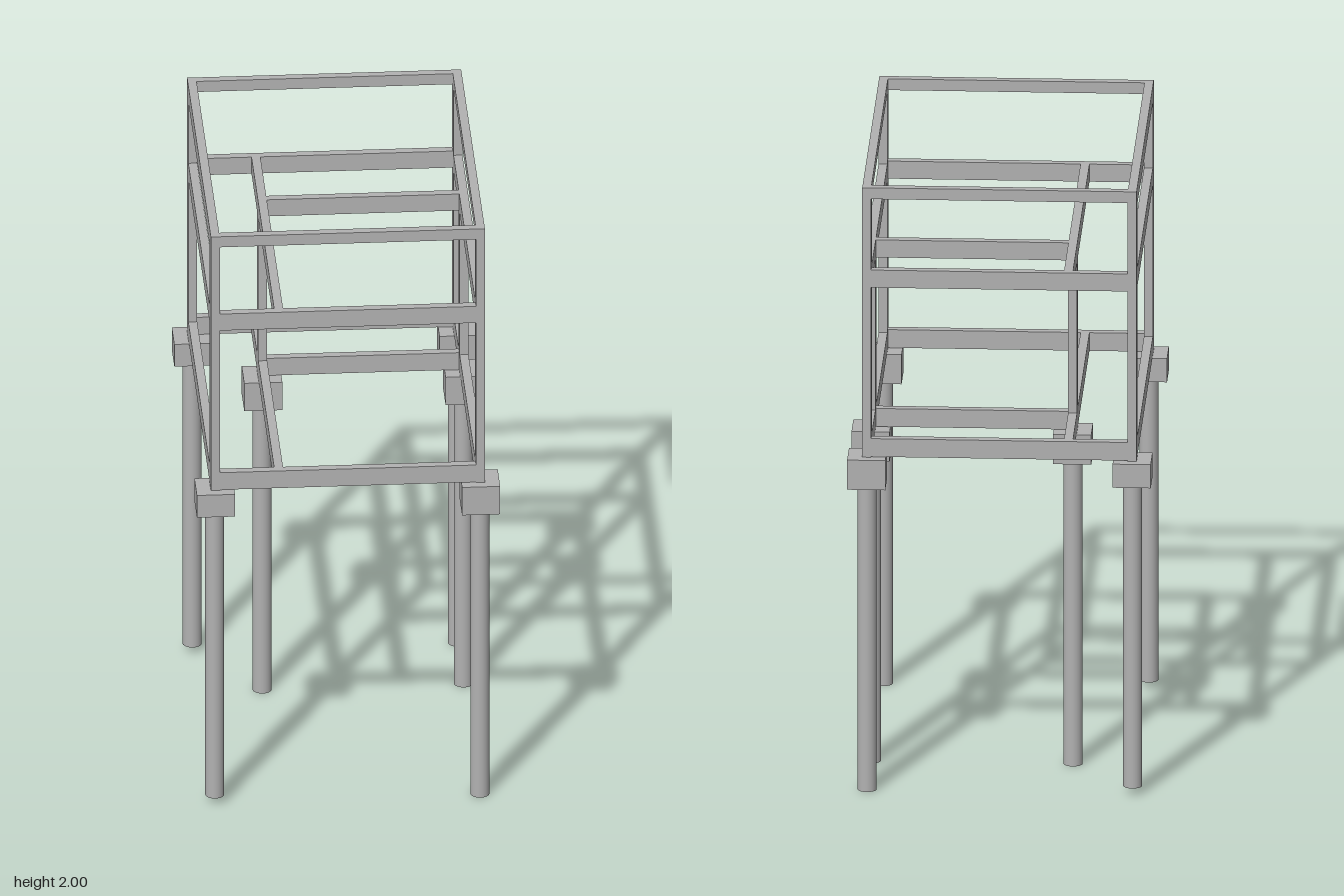
import * as THREE from 'three';

export function createModel() {
  const model = new THREE.Group();
  model.name = 'raisedFrame';
  const grey = new THREE.MeshStandardMaterial({ color: 0xb2b2b2 });
  grey.name = 'concrete grey';

  // Box given by its lower and upper corners
  function box(name, x0, x1, y0, y1, z0, z1) {
    const mesh = new THREE.Mesh(new THREE.BoxGeometry(x1 - x0, y1 - y0, z1 - z0), grey);
    mesh.name = name;
    mesh.position.set((x0 + x1) / 2, (y0 + y1) / 2, (z0 + z1) / 2);
    model.add(mesh);
  }

  const LEFT = -0.419, RIGHT = 0.416, INNER = -0.218;
  const FRONT = 0.528, BACK = -0.53, MID = -0.244;
  const T = 0.014, D = 0.029; // half width and half depth of members
  const zF = FRONT + D, zB = BACK - D;

  // Piles and caps; the outer pair at -x has thinner caps and higher piles
  const spots = [[LEFT, FRONT], [LEFT, BACK], [RIGHT, FRONT], [RIGHT, BACK], [RIGHT, MID], [INNER, MID]];
  for (const [x, z] of spots) {
    const capBottom = x === LEFT ? 1.03 : 1.01;
    const base = x === LEFT ? 0.025 : 0;
    const pile = new THREE.Mesh(new THREE.CylinderGeometry(0.03, 0.03, capBottom - base, 24), grey);
    pile.name = 'pile';
    pile.position.set(x, (capBottom + base) / 2, z);
    model.add(pile);
    box('pileCap', x - 0.06, x + 0.06, capBottom, 1.108, z - 0.06, z + 0.06);

    // Corner posts reach the roof, inner posts stop at the middle level
    const corner = z !== MID;
    box(corner ? 'cornerPost' : 'innerPost', x - T, x + T, 1.108, corner ? 2 : 1.67, z - D, z + D);
  }

  // Floor and middle level beams
  for (const [level, y0, y1] of [['floor', 1.11, 1.17], ['middle', 1.67, 1.728]]) {
    box(level + 'FrontBeam', LEFT + T, RIGHT - T, y0, y1, zF - 2 * T, zF);
    box(level + 'BackBeam', LEFT + T, RIGHT - T, y0, y1, zB, zB + 2 * T);
    for (const x of [LEFT, RIGHT]) box(level + 'SideBeam', x - T, x + T, y0, y1, BACK + D, FRONT - D);
    box(level + 'InnerBeam', INNER - T, INNER + T, y0, y1, zB + 2 * T, zF - 2 * T);
    box(level + 'CrossBeam', INNER + T, RIGHT - T, y0, y1, MID - T, MID + T);
  }

  // Roof ring
  box('roofFrontBeam', LEFT + T, RIGHT - T, 1.963, 2, zF - 2 * T, zF);
  box('roofBackBeam', LEFT + T, RIGHT - T, 1.963, 2, zB, zB + 2 * T);
  box('roofRightBeam', RIGHT - T, RIGHT + T, 1.963, 2, BACK + D, FRONT - D);
  box('roofLeftBeam', LEFT - T, LEFT + T, 1.943, 2, BACK + D, FRONT - D);

  return model;
}
